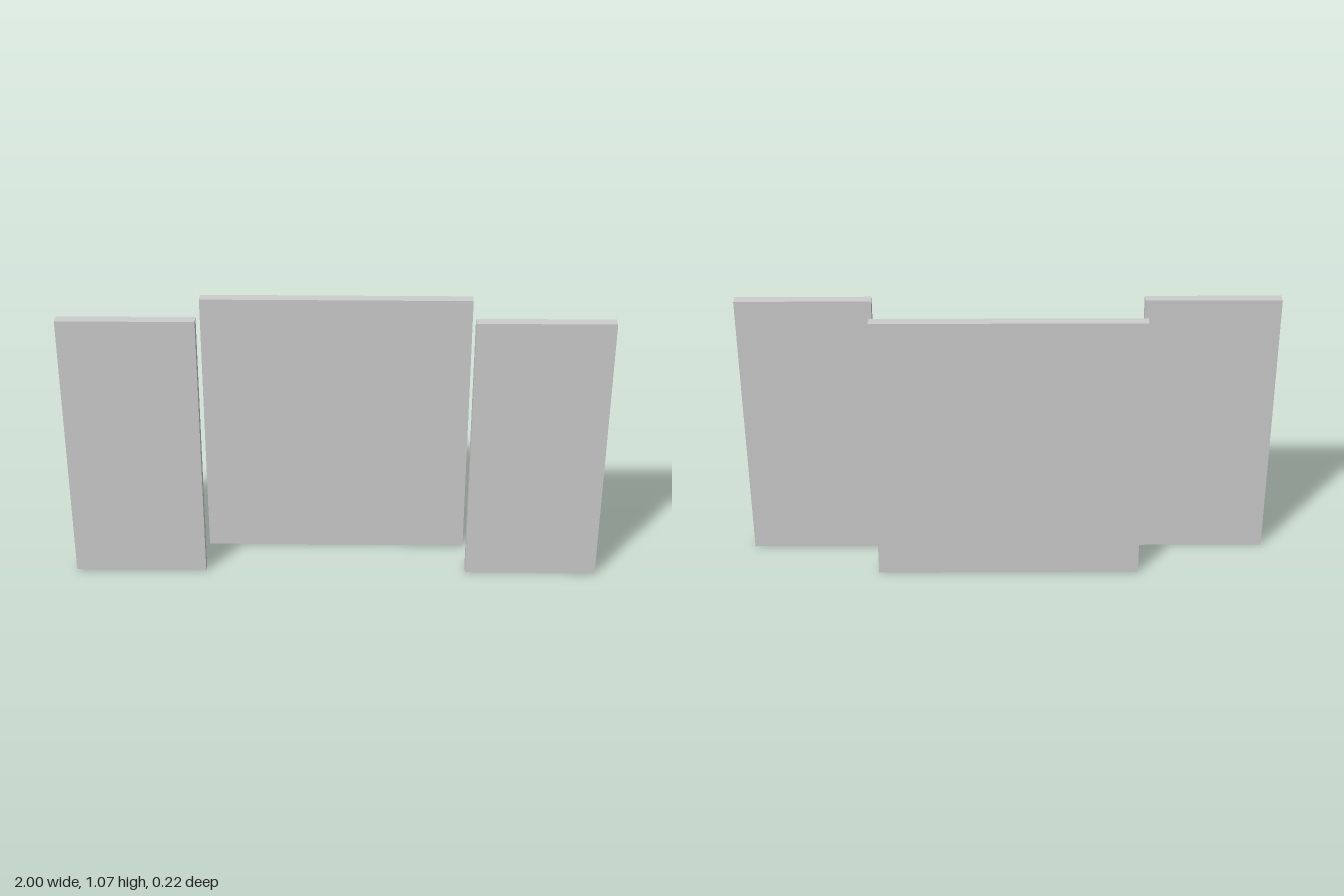
import * as THREE from 'three';

const HEIGHT = 1.07;
const THICKNESS = 0.04;
const OFFSET = 0.092; // distance of each panel plane from the centre

export function createModel() {
  const model = new THREE.Group();
  model.name = 'staggeredPanels';
  const material = new THREE.MeshStandardMaterial({ color: 0xcccccc });

  const addPanel = (name, width, x, z) => {
    const panel = new THREE.Mesh(new THREE.BoxGeometry(width, HEIGHT, THICKNESS), material);
    panel.name = name;
    panel.position.set(x, HEIGHT / 2, z);
    model.add(panel);
  };

  // Wide panel at the back
  addPanel('backPanel', 1, 0, -OFFSET);

  // Narrow panels at the front, one on each side
  for (const [name, side] of [['leftPanel', 1], ['rightPanel', -1]]) {
    addPanel(name, 0.5, side * 0.75, OFFSET);
  }

  return model;
}
